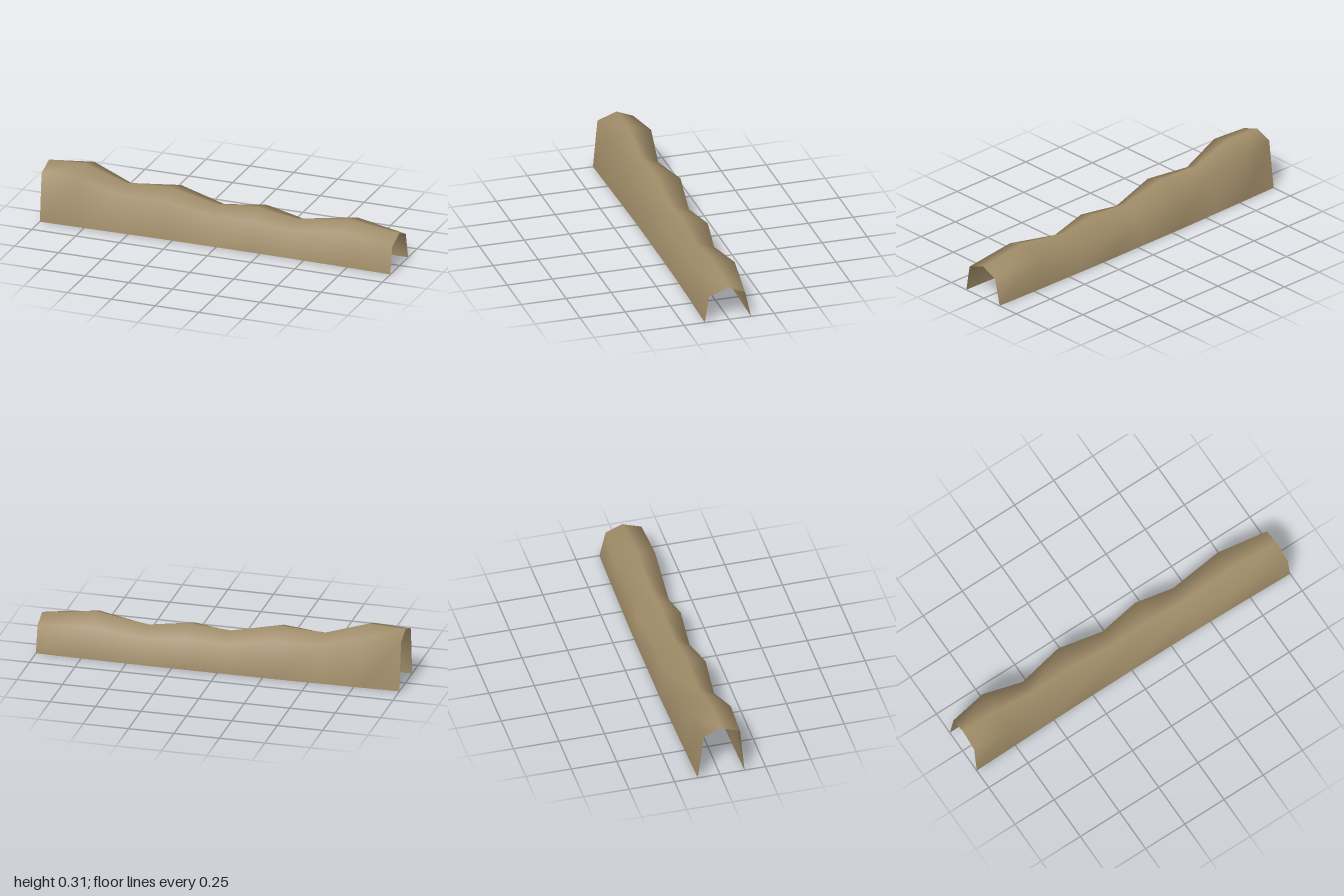
import * as THREE from 'three';

// One row per cross-section:
// x, ridge height, front base z, front shoulder z, back shoulder z, back base z
const SECTIONS = [
  [-1.00, 0.307, 0.135, 0.110, -0.088, -0.122],
  [-0.79, 0.315, 0.131, 0.115, -0.123, -0.126],
  [-0.56, 0.240, 0.127, 0.082, -0.085, -0.130],
  [-0.30, 0.252, 0.123, 0.110, -0.134, -0.134],
  [-0.04, 0.195, 0.122, 0.076, -0.100, -0.134],
  [0.19, 0.213, 0.122, 0.106, -0.133, -0.134],
  [0.41, 0.180, 0.123, 0.075, -0.100, -0.133],
  [0.71, 0.224, 0.128, 0.106, -0.122, -0.128],
  [1.00, 0.186, 0.135, 0.110, -0.088, -0.122],
];
const SHOULDER_DROP = 0.038;
const RIDGE_Z = 0.004;

// Lofts the open cross-sections into a smooth-shaded sheet
function loftShell(sections) {
  const positions = [];
  const indices = [];
  const n = 5;
  for (const [x, top, frontBase, frontShoulder, backShoulder, backBase] of sections) {
    const shoulder = top - SHOULDER_DROP;
    positions.push(
      x, 0, frontBase,
      x, shoulder, frontShoulder,
      x, top, RIDGE_Z,
      x, shoulder, backShoulder,
      x, 0, backBase,
    );
  }
  for (let i = 0; i < sections.length - 1; i++) {
    for (let j = 0; j < n - 1; j++) {
      const a = i * n + j;
      const b = a + n;
      indices.push(a, b, b + 1, a, b + 1, a + 1);
    }
  }
  const geometry = new THREE.BufferGeometry();
  geometry.setAttribute('position', new THREE.Float32BufferAttribute(positions, 3));
  geometry.setIndex(indices);
  geometry.computeVertexNormals();
  return geometry;
}

export function createModel() {
  const group = new THREE.Group();
  group.name = 'earthRidge';

  const earth = new THREE.MeshStandardMaterial({ color: 0xa08c68, side: THREE.DoubleSide });
  earth.name = 'sandyEarth';

  // Undulating mound, open underneath and at both ends
  const shell = new THREE.Mesh(loftShell(SECTIONS), earth);
  shell.name = 'ridgeShell';
  group.add(shell);

  return group;
}
